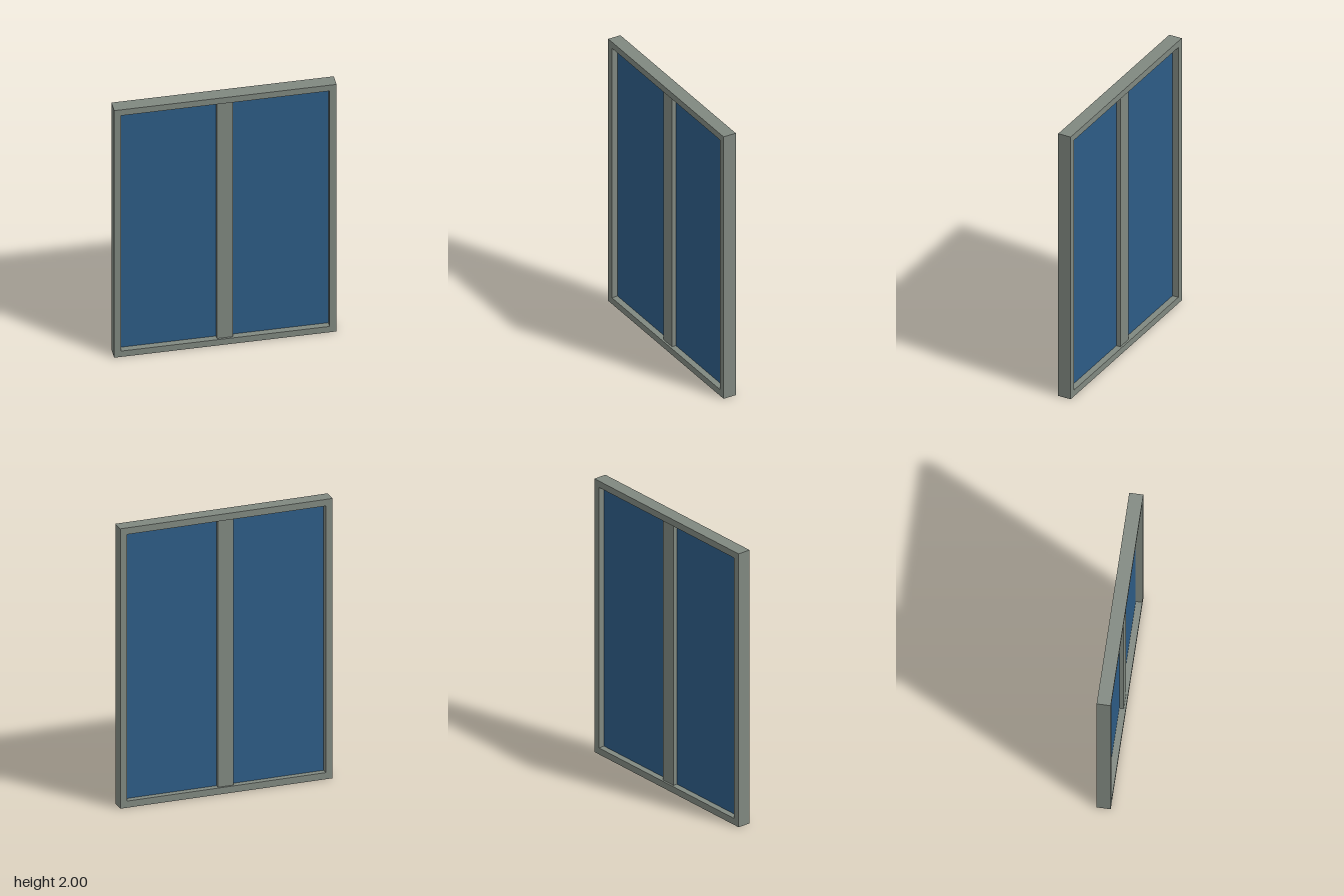
import * as THREE from 'three';

const WIDTH = 1.5, HEIGHT = 2, DEPTH = 0.094, BORDER = 0.047;
const MULLION_WIDTH = 0.11, MULLION_DEPTH = 0.066, GLASS_DEPTH = 0.006;

export function createModel() {
  const model = new THREE.Group();
  model.name = 'window';
  const frameMaterial = new THREE.MeshStandardMaterial({ color: 0x808880 });
  const glassMaterial = new THREE.MeshStandardMaterial({ color: 0x2d5c86 });

  const add = (name, geometry, material, x, y, z) => {
    const mesh = new THREE.Mesh(geometry, material);
    mesh.name = name;
    mesh.position.set(x, y, z);
    model.add(mesh);
  };

  // Outer frame: a rectangle with one large opening
  const innerWidth = WIDTH - 2 * BORDER, innerHeight = HEIGHT - 2 * BORDER;
  const rectangle = (w, h) => [[-w, -h], [w, -h], [w, h], [-w, h]]
    .map(([x, y]) => new THREE.Vector2(x / 2, y / 2));
  const outline = new THREE.Shape(rectangle(WIDTH, HEIGHT));
  outline.holes.push(new THREE.Path(rectangle(innerWidth, innerHeight).reverse()));
  const frame = new THREE.ExtrudeGeometry(outline, { depth: DEPTH, bevelEnabled: false });
  add('frame', frame, frameMaterial, 0, HEIGHT / 2, -DEPTH / 2);

  // Central upright, set back slightly from both frame faces
  add('mullion', new THREE.BoxGeometry(MULLION_WIDTH, innerHeight, MULLION_DEPTH),
    frameMaterial, 0, HEIGHT / 2, 0);

  // Two thin panes in the middle of the frame's depth
  const paneWidth = (innerWidth - MULLION_WIDTH) / 2;
  for (const [name, side] of [['leftPane', 1], ['rightPane', -1]]) {
    add(name, new THREE.BoxGeometry(paneWidth, innerHeight, GLASS_DEPTH),
      glassMaterial, side * (MULLION_WIDTH + paneWidth) / 2, HEIGHT / 2, 0);
  }
  return model;
}
